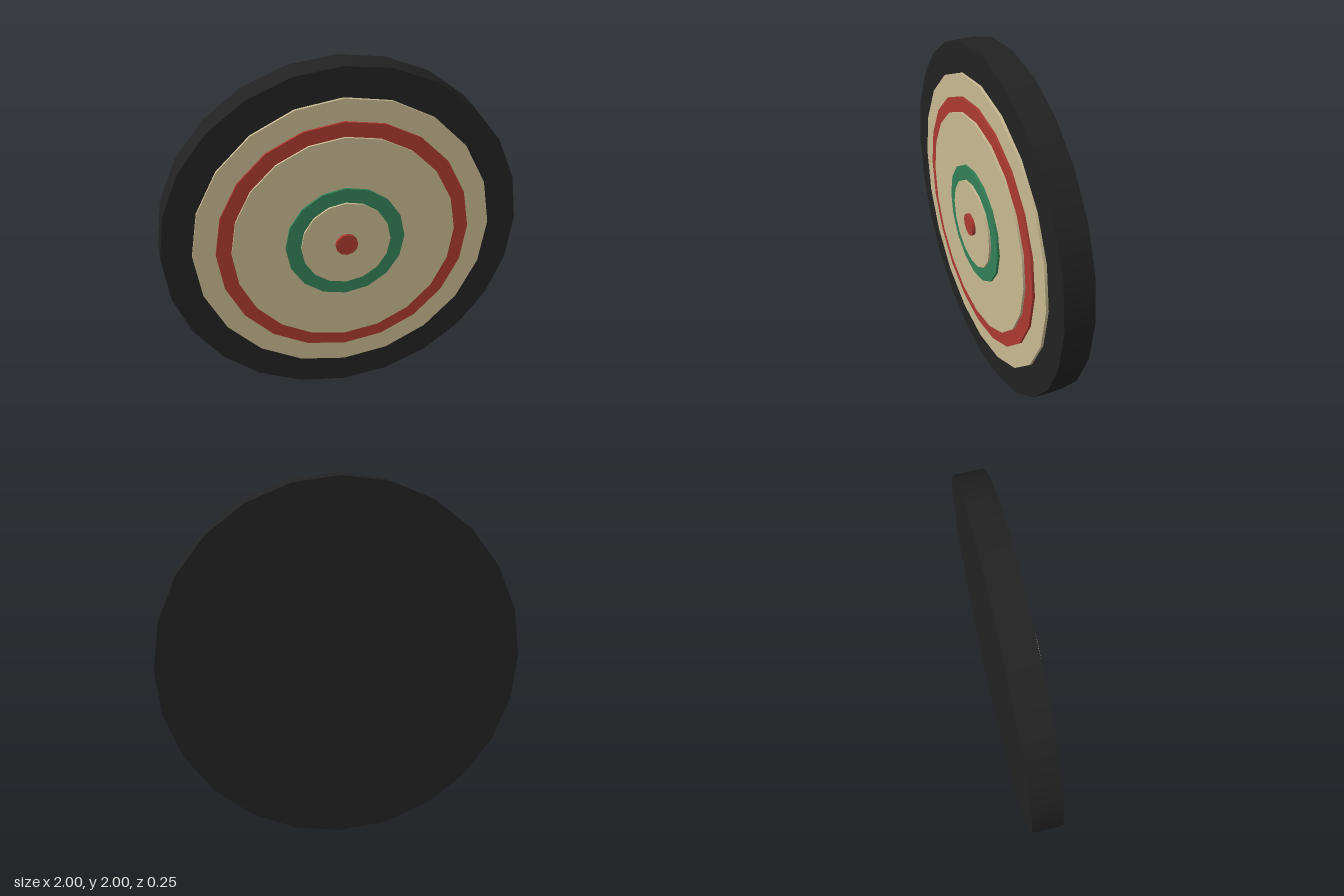
import * as THREE from 'three';

// name, radius, sides, back z, front z, color
const LAYERS = [
  ['backBoard', 1, 24, -0.125, 0.042, 0x222222],
  ['outerCreamDisc', 0.833, 20, 0.042, 0.057, 0xc8b991],
  ['outerRedRing', 0.708, 20, 0.042, 0.07, 0xaa3a30],
  ['innerCreamDisc', 0.625, 20, 0.042, 0.082, 0xc8b991],
  ['greenRing', 0.333, 16, 0.042, 0.095, 0x338057],
  ['centreCreamDisc', 0.25, 16, 0.042, 0.107, 0xc8b991],
  ['bullseye', 0.0625, 12, 0.042, 0.125, 0xaa3a30],
];

// Disc facing +z, with a corner at the top
function disc([name, radius, sides, back, front, color]) {
  const geometry = new THREE.CylinderGeometry(radius, radius, front - back, sides);
  geometry.rotateX(Math.PI / 2);
  const mesh = new THREE.Mesh(geometry, new THREE.MeshStandardMaterial({ color }));
  mesh.name = name;
  mesh.position.set(0, 1, (front + back) / 2);
  return mesh;
}

export function createModel() {
  const group = new THREE.Group();
  group.name = 'targetBoard';
  // Stepped stack of discs, each one standing a little prouder
  for (const layer of LAYERS) group.add(disc(layer));
  return group;
}
